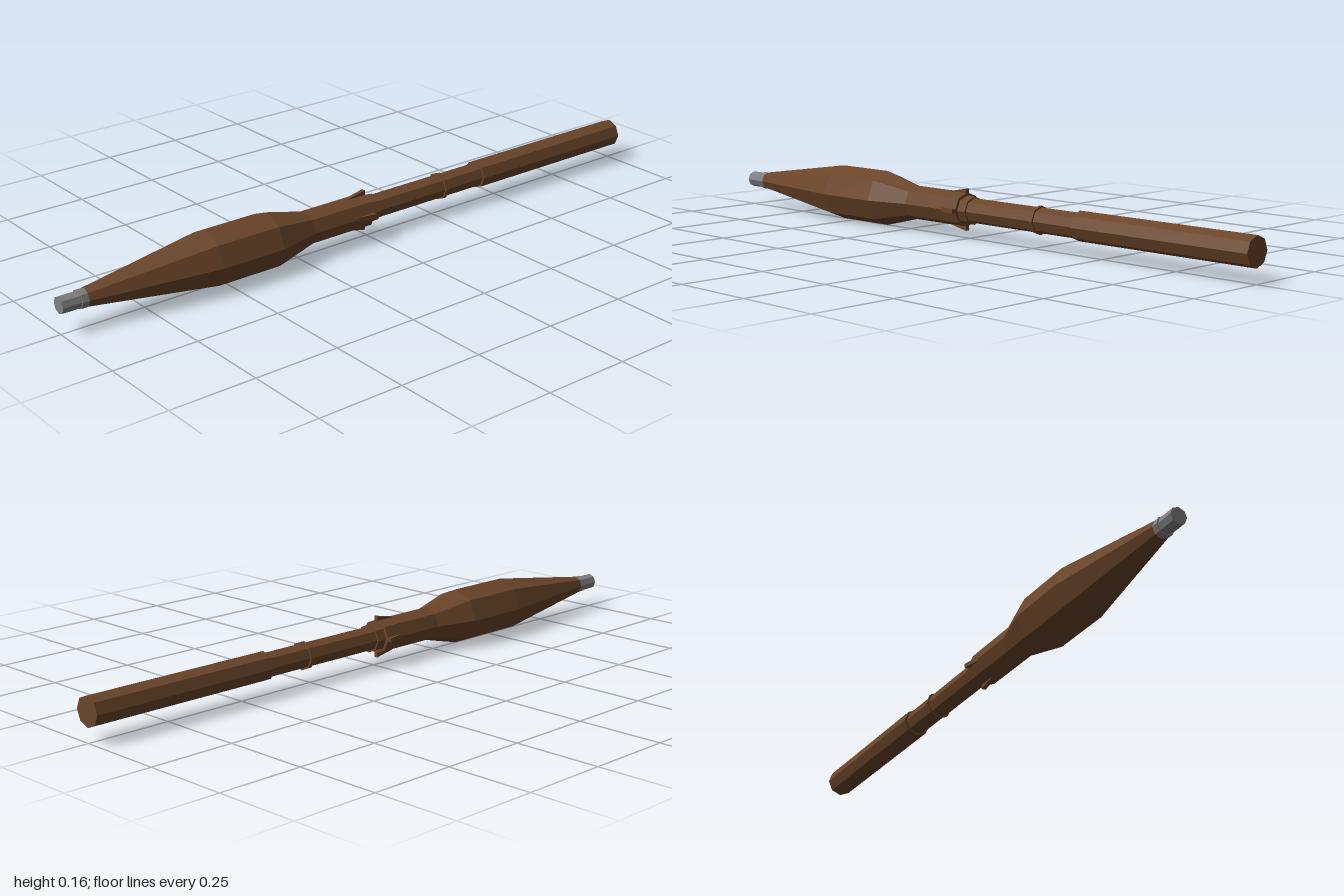
import * as THREE from 'three';

export function createModel() {
  const model = new THREE.Group();
  model.name = 'model';
  const brown = new THREE.MeshStandardMaterial({ color: 0x6b4529, flatShading: true });
  brown.name = 'brown';
  const grey = new THREE.MeshStandardMaterial({ color: 0x808080, flatShading: true });
  grey.name = 'grey';

  // Everything sits on one axis running along z
  const axis = new THREE.Group();
  axis.name = 'axis';
  axis.position.y = 0.082;
  model.add(axis);

  // Eight-sided turned part; the profile lists [radius, z] from back to front
  function turned(name, material, profile) {
    const points = profile.map(([r, z]) => new THREE.Vector2(r, z));
    const mesh = new THREE.Mesh(new THREE.LatheGeometry(points, 8), material);
    mesh.name = name;
    mesh.rotation.x = Math.PI / 2;
    axis.add(mesh);
  }

  turned('head', brown, [
    [0, 0.01], [0.05, 0.01], [0.05, 0.22], [0.082, 0.35],
    [0.082, 0.55], [0.026, 0.93], [0, 0.93],
  ]);
  turned('tipRing', grey, [[0, 0.925], [0.027, 0.925], [0.027, 0.945], [0, 0.945]]);
  turned('tip', grey, [[0, 0.94], [0.024, 0.94], [0.024, 1], [0, 1]]);
  turned('collar', brown, [[0, -0.02], [0.041, -0.02], [0.041, 0.02], [0, 0.02]]);
  turned('shaft', brown, [[0, -0.43], [0.036, -0.43], [0.036, 0.02], [0, 0.02]]);
  turned('shaftRing', brown, [[0, -0.28], [0.041, -0.28], [0.041, -0.27], [0, -0.27]]);
  turned('tail', brown, [[0, -1], [0.042, -1], [0.042, -0.42], [0, -0.42]]);

  // Four small flared tabs at the back of the head
  const outline = new THREE.Shape([
    new THREE.Vector2(0.042, 0.01), new THREE.Vector2(0.061, 0.01),
    new THREE.Vector2(0.049, 0.07), new THREE.Vector2(0.042, 0.07),
  ]);
  const tabGeometry = new THREE.ExtrudeGeometry(outline, { depth: 0.012, bevelEnabled: false });
  tabGeometry.translate(0, 0, -0.006);
  tabGeometry.rotateX(Math.PI / 2);
  for (let i = 0; i < 4; i++) {
    const tab = new THREE.Mesh(tabGeometry, brown);
    tab.name = 'tab' + (i + 1);
    tab.rotation.z = (i * Math.PI) / 2;
    axis.add(tab);
  }

  return model;
}
